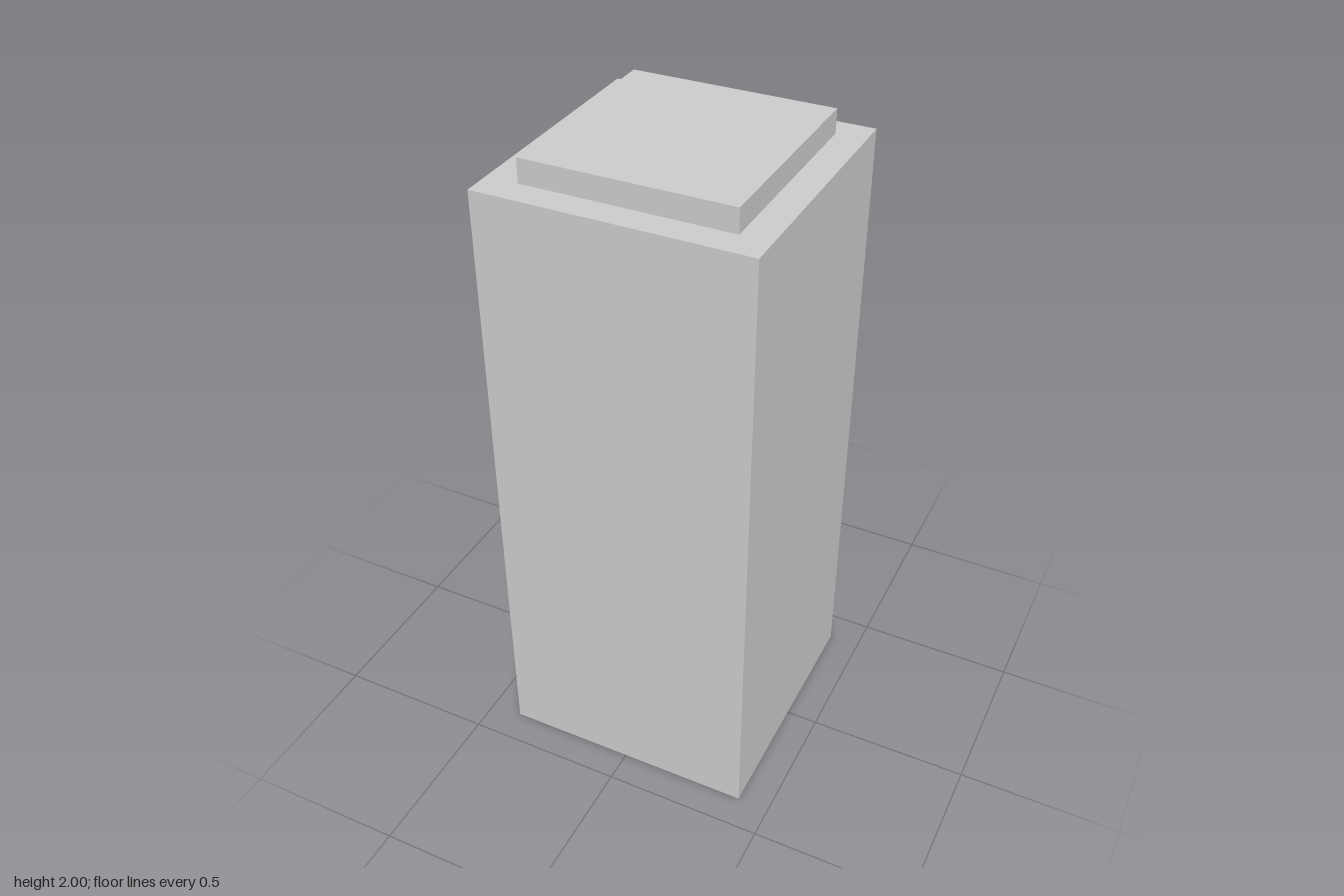
import * as THREE from 'three';

const HALF = 0.4;          // half width of the square body
const BODY_TOP = 1.928;
const SLOT_DEPTH = 0.08;

function rectangle(target, x0, y0, x1, y1) {
  target.moveTo(x0, y0);
  target.lineTo(x1, y0);
  target.lineTo(x1, y1);
  target.lineTo(x0, y1);
  target.closePath();
  return target;
}

export function createModel() {
  const model = new THREE.Group();
  model.name = 'slottedTower';
  const material = new THREE.MeshStandardMaterial({ color: 0xcccccc, flatShading: true });

  const add = (name, geometry, x, y, z) => {
    const mesh = new THREE.Mesh(geometry, material);
    mesh.name = name;
    mesh.position.set(x, y, z);
    model.add(mesh);
  };

  // Solid body, its rear face forming the floor of the slots
  const bodyDepth = 2 * HALF - SLOT_DEPTH;
  add('body', new THREE.BoxGeometry(2 * HALF, BODY_TOP, bodyDepth), 0, BODY_TOP / 2, SLOT_DEPTH / 2);

  // Back wall pierced by three tall slots
  const wall = rectangle(new THREE.Shape(), -HALF, 0, HALF, BODY_TOP);
  for (const x of [-0.248, -0.009, 0.233]) {
    wall.holes.push(rectangle(new THREE.Path(), x - 0.063, 0.387, x + 0.063, 1.82));
  }
  add('slottedBackWall',
    new THREE.ExtrudeGeometry(wall, { depth: SLOT_DEPTH, bevelEnabled: false }), 0, 0, -HALF);

  // Low raised cap on the roof
  const capHeight = 2 - BODY_TOP;
  add('roofCap', new THREE.BoxGeometry(0.615, capHeight, 0.637), 0.003, BODY_TOP + capHeight / 2, -0.004);

  return model;
}
